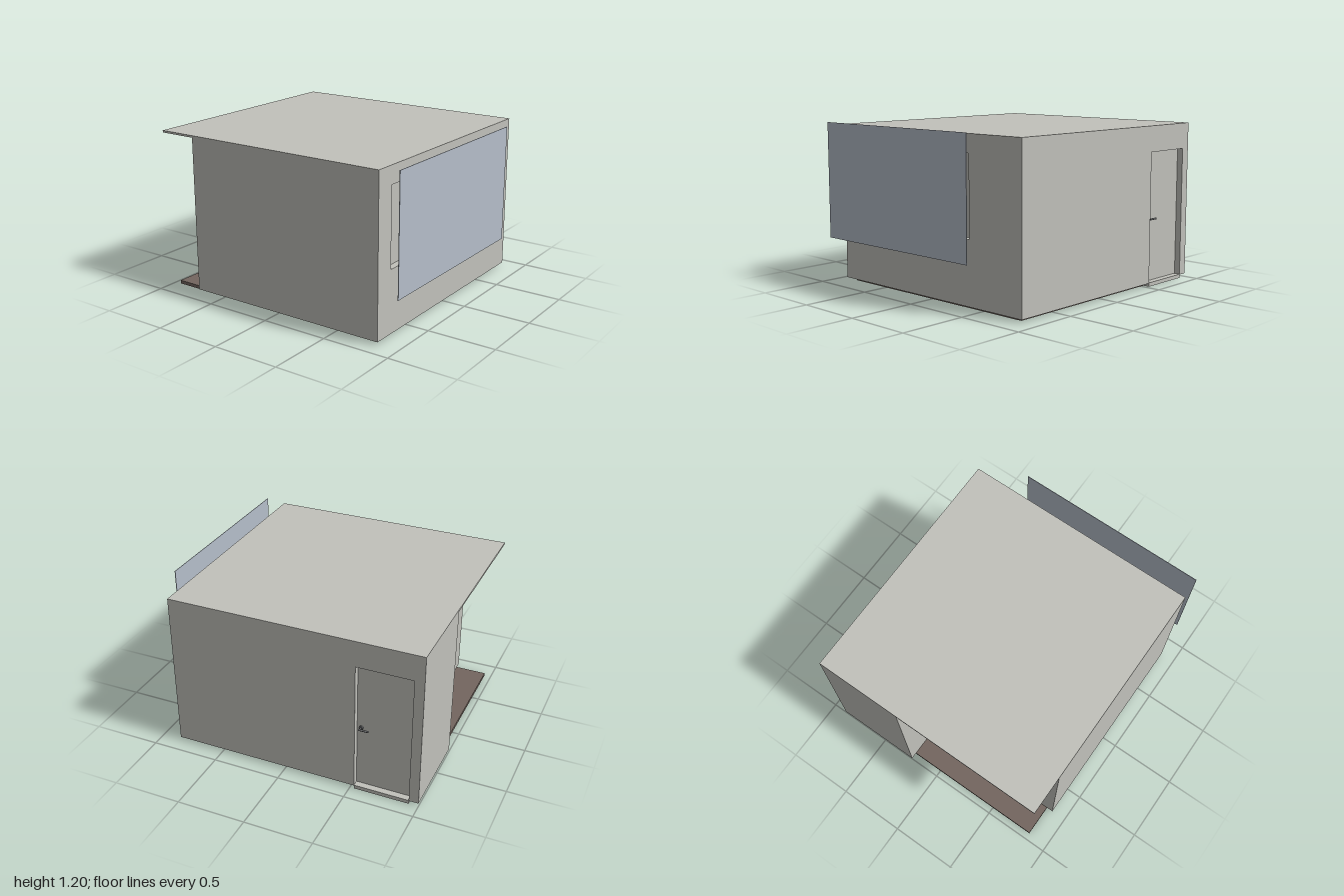
import * as THREE from 'three';

export function createModel() {
  const group = new THREE.Group();
  const material = (name, color) => {
    const m = new THREE.MeshStandardMaterial({ color });
    m.name = name;
    return m;
  };
  const concrete = material('concrete', 0xc1c1bb);
  const brown = material('brown floor', 0x74665f);
  const glass = material('pale blue glass', 0xb5beca);
  const metal = material('grey metal', 0x707274);

  const add = (name, geometry, mat) => {
    const mesh = new THREE.Mesh(geometry, mat);
    mesh.name = name;
    group.add(mesh);
    return mesh;
  };
  // Box given by its limits on each axis
  const box = (name, mat, [x0, x1], [y0, y1], [z0, z1]) =>
    add(name, new THREE.BoxGeometry(x1 - x0, y1 - y0, z1 - z0), mat)
      .position.set((x0 + x1) / 2, (y0 + y1) / 2, (z0 + z1) / 2);
  const outline = (points) => new THREE.Shape(points.map(([x, y]) => new THREE.Vector2(x, y)));
  const extrude = (shape, depth) => new THREE.ExtrudeGeometry(shape, { depth, bevelEnabled: false });

  const base = 0.025, eave = 1.165, wall = 0.05;

  // Floor slab and roof
  box('floorSlab', brown, [-0.95, 0.8], [0, base], [-0.84, 0.84]);
  box('roof', concrete, [-1, 0.85], [eave, 1.18], [-0.89, 0.89]);

  // L-shaped room leaving the porch open at the front corner
  const room = extrude(outline([
    [-1, 0.84], [-1, 0.235], [-0.715, 0.235], [-0.715, -0.89], [0.8, -0.89], [0.8, 0.84],
  ]), eave - base);
  room.rotateX(-Math.PI / 2);
  add('room', room, concrete).position.y = base;

  // Back wall with a doorway notch
  add('backWall', extrude(outline([
    [-1, base], [-0.93, base], [-0.93, 0.99], [-0.53, 0.99], [-0.53, base],
    [0.85, base], [0.85, eave], [-1, eave],
  ]), wall), concrete).position.z = -0.89;

  // Side wall with a window opening
  const side = outline([[-0.89, base], [0.84, base], [0.84, eave], [-0.89, eave]]);
  side.holes.push(outline([[-0.74, 0.48], [-0.74, 1.05], [0.42, 1.05], [0.42, 0.48]]));
  const sideWall = extrude(side, wall);
  sideWall.rotateY(Math.PI / 2);
  add('windowWall', sideWall, concrete).position.x = 0.8;

  // Large pane standing off the wall
  box('windowPane', glass, [0.996, 1], [0.35, 1.2], [-0.55, 0.885]);

  // Door, sill and lever handle
  box('door', concrete, [-0.93, -0.53], [0.03, 0.99], [-0.845, -0.838]);
  box('doorSill', concrete, [-0.93, -0.53], [0, 0.028], [-0.89, -0.84]);
  const rose = new THREE.CylinderGeometry(0.015, 0.015, 0.01, 20);
  rose.rotateX(Math.PI / 2);
  add('handleRose', rose, metal).position.set(-0.56, 0.495, -0.85);
  const neck = new THREE.CylinderGeometry(0.006, 0.006, 0.025, 12);
  neck.rotateX(Math.PI / 2);
  add('handleNeck', neck, metal).position.set(-0.56, 0.495, -0.865);
  const lever = new THREE.CylinderGeometry(0.007, 0.007, 0.07, 12);
  lever.rotateZ(Math.PI / 2);
  add('handleLever', lever, metal).position.set(-0.588, 0.495, -0.876);

  return group;
}
